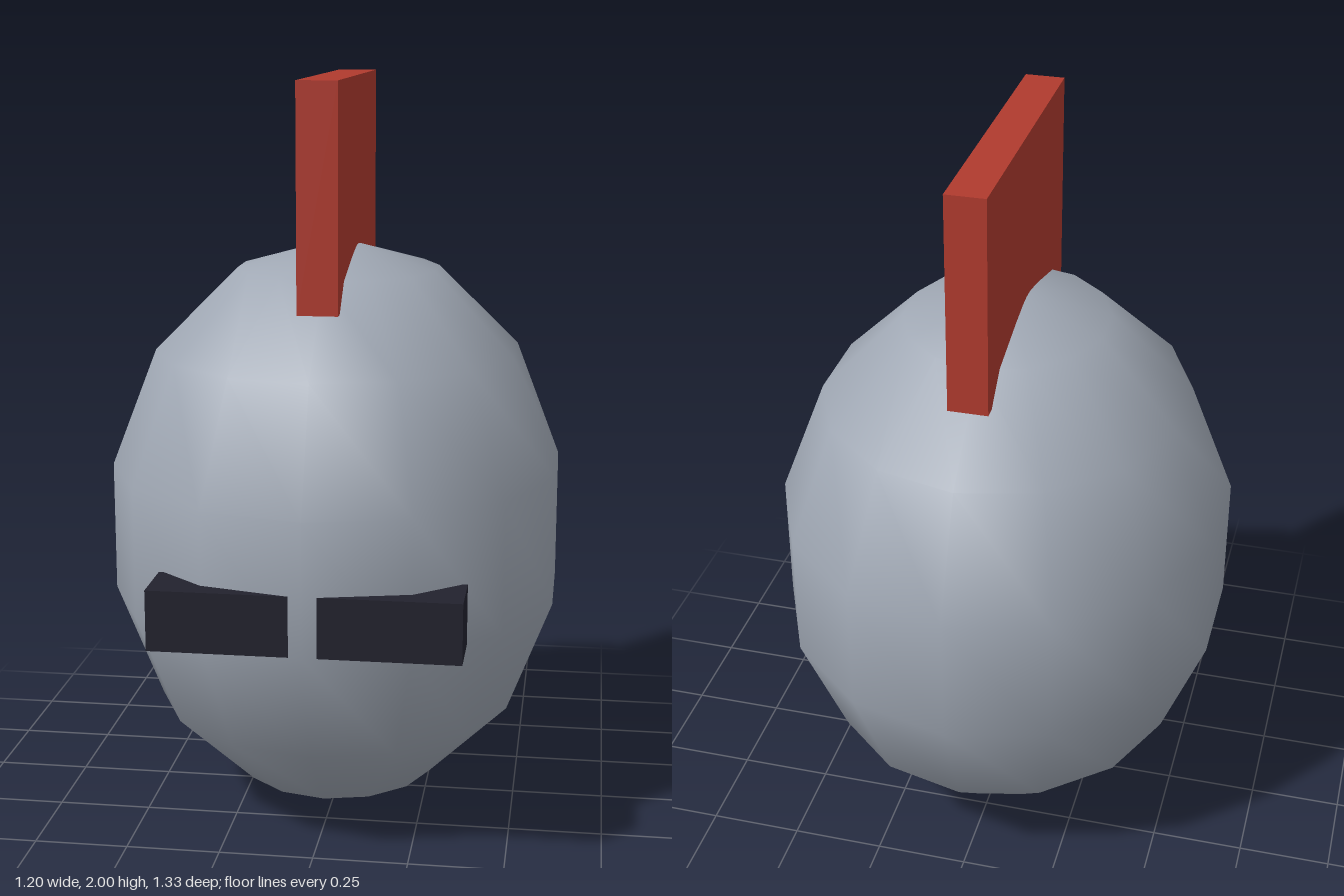
import * as THREE from 'three';

function material(name, color) {
  const m = new THREE.MeshStandardMaterial({ color });
  m.name = name;
  return m;
}

export function createModel() {
  const model = new THREE.Group();
  model.name = 'crestedHelmet';

  const steel = material('steel grey', 0xa0a8b4);
  const red = material('crest red', 0xb03a2e);
  const dark = material('visor black', 0x22222e);

  const add = (name, geometry, mat, x, y, z) => {
    const mesh = new THREE.Mesh(geometry, mat);
    mesh.name = name;
    mesh.position.set(x, y, z);
    model.add(mesh);
  };

  // Egg-shaped shell: coarse smooth sphere with a column of vertices on the front
  const shell = new THREE.SphereGeometry(1, 14, 7);
  shell.rotateY(Math.PI / 2);
  shell.scale(0.631, 0.785, 0.684);
  add('helmetShell', shell, steel, 0, 0.785, 0);

  // Upright crest sunk into the top
  add('crest', new THREE.BoxGeometry(0.105, 0.58, 0.79), red, 0, 1.71, 0);

  // One visor bar; the shell's front ridge pokes through and splits it in two
  add('visor', new THREE.BoxGeometry(0.79, 0.158, 0.158), dark, 0, 0.689, 0.579);

  return model;
}
